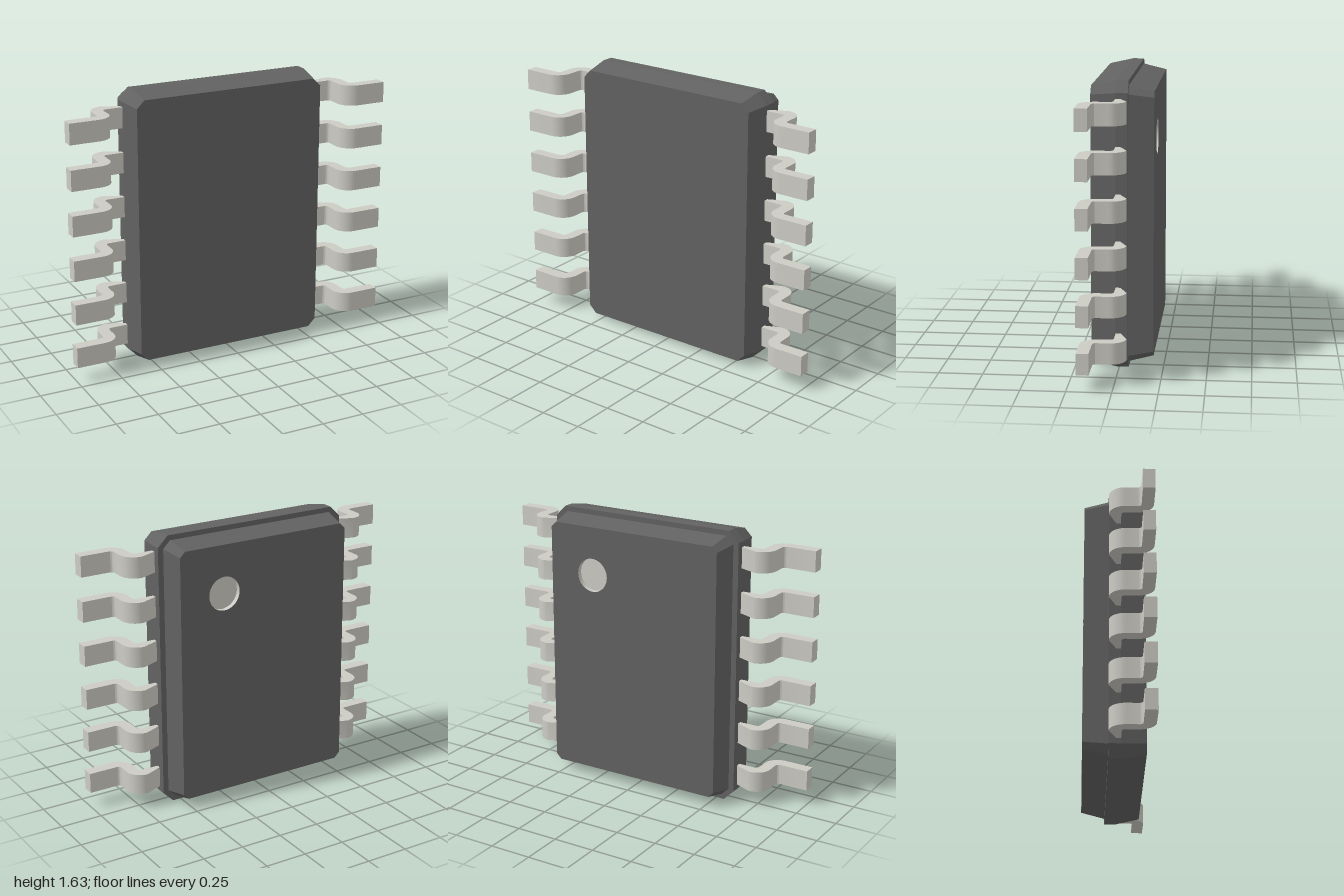
import * as THREE from 'three';
import { toCreasedNormals } from 'three/addons/utils/BufferGeometryUtils.js';

const CY = 0.8175; // mid height of the package

// Body sections: half width, half height, corner chamfer, z
const FRONT = [0.585, 0.7875, 0.046, 0.155];
const RIM_FRONT = [0.613, 0.8175, 0.063, 0.015];
const RIM_BACK = [0.613, 0.8175, 0.063, -0.053];
const STEP = [0.58, 0.7875, 0.044, -0.053];
const BACK = [0.553, 0.755, 0.032, -0.193];
const DIMPLE = { x: 0.27, y: 1.285 - CY, r: 0.1, depth: 0.03 };

// Chamfered rectangle, counter-clockwise seen from the front
function octagon([w, h, c]) {
  return [
    [w, -h + c], [w, h - c], [w - c, h], [-w + c, h],
    [-w, h - c], [-w, -h + c], [-w + c, -h], [w - c, -h],
  ].map(([x, y]) => new THREE.Vector2(x, y));
}

// Flat-sided skin through sections listed from front to back
function loft(sections) {
  const pos = [];
  for (let s = 0; s < sections.length - 1; s++) {
    const a = octagon(sections[s]), b = octagon(sections[s + 1]);
    const za = sections[s][3], zb = sections[s + 1][3];
    for (let i = 0; i < 8; i++) {
      const j = (i + 1) % 8;
      const p = [a[i].x, a[i].y, za], q = [b[i].x, b[i].y, zb];
      const r = [b[j].x, b[j].y, zb], t = [a[j].x, a[j].y, za];
      pos.push(...p, ...q, ...r, ...p, ...r, ...t);
    }
  }
  const geo = new THREE.BufferGeometry();
  geo.setAttribute('position', new THREE.Float32BufferAttribute(pos, 3));
  geo.computeVertexNormals();
  return geo;
}

// Flat end face of a section, optionally pierced by the dimple
function cap(section, facingBack, pierced) {
  const shape = new THREE.Shape(octagon(section));
  if (pierced) {
    const hole = new THREE.Path();
    hole.absarc(DIMPLE.x, DIMPLE.y, DIMPLE.r, 0, Math.PI * 2, true);
    shape.holes.push(hole);
  }
  const geo = new THREE.ShapeGeometry(shape, 24);
  if (facingBack) {
    // mirror the winding so the face looks backwards
    const idx = geo.index;
    for (let i = 0; i < idx.count; i += 3) {
      const k = idx.getX(i);
      idx.setX(i, idx.getX(i + 1));
      idx.setX(i + 1, k);
    }
    geo.computeVertexNormals();
  }
  return geo.translate(0, 0, section[3]);
}

// S-bent strip, drawn in x / -z and extruded along y
function leadGeometry(width) {
  const P = Math.PI, s = new THREE.Shape();
  s.moveTo(0.55, 0.055);
  s.absarc(0.715, -0.035, 0.09, P / 2, 0, true);
  s.absarc(0.825, -0.105, 0.02, P, 1.5 * P, false);
  s.lineTo(1, -0.125);
  s.lineTo(1, -0.195);
  s.absarc(0.825, -0.105, 0.09, 1.5 * P, P, true);
  s.absarc(0.715, -0.035, 0.02, 0, P / 2, false);
  s.lineTo(0.55, -0.015);
  s.closePath();
  const geo = new THREE.ExtrudeGeometry(s, { depth: width, bevelEnabled: false, curveSegments: 10 });
  geo.translate(0, 0, -width / 2).rotateX(-P / 2);
  return toCreasedNormals(geo, 0.6);
}

export function createModel() {
  const model = new THREE.Group();
  model.name = 'chipPackage';
  const dark = new THREE.MeshStandardMaterial({ color: 0x626262 });
  const metal = new THREE.MeshStandardMaterial({ color: 0xcccbc4 });
  const metalInside = new THREE.MeshStandardMaterial({ color: 0xcccbc4, side: THREE.DoubleSide });

  const add = (parent, name, geo, mat) => {
    const mesh = new THREE.Mesh(geo, mat);
    mesh.name = name;
    parent.add(mesh);
    return mesh;
  };

  // Moulded body: front half with rim, smaller tapered back half
  const body = new THREE.Group();
  body.name = 'body';
  body.position.y = CY;
  add(body, 'bodySides', loft([FRONT, RIM_FRONT, RIM_BACK, STEP, BACK]), dark);
  add(body, 'frontFace', cap(FRONT, false, false), dark);
  add(body, 'backFace', cap(BACK, true, true), dark);

  // Round recess marking the first lead
  const wall = new THREE.CylinderGeometry(DIMPLE.r, DIMPLE.r, DIMPLE.depth, 48, 1, true).rotateX(Math.PI / 2);
  add(body, 'dimpleWall', wall, metalInside)
    .position.set(DIMPLE.x, DIMPLE.y, BACK[3] + DIMPLE.depth / 2);
  const floor = new THREE.CircleGeometry(DIMPLE.r, 48).rotateY(Math.PI);
  add(body, 'dimpleFloor', floor, metal)
    .position.set(DIMPLE.x, DIMPLE.y, BACK[3] + DIMPLE.depth);
  model.add(body);

  // Six bent leads on each side
  const lead = leadGeometry(0.122);
  for (let i = 0; i < 6; i++) {
    const y = CY + (i - 2.5) * 0.265;
    add(model, 'leftLead' + (i + 1), lead, metal).position.y = y;
    const right = add(model, 'rightLead' + (i + 1), lead, metal);
    right.position.y = y;
    right.rotation.z = Math.PI;
  }
  return model;
}
